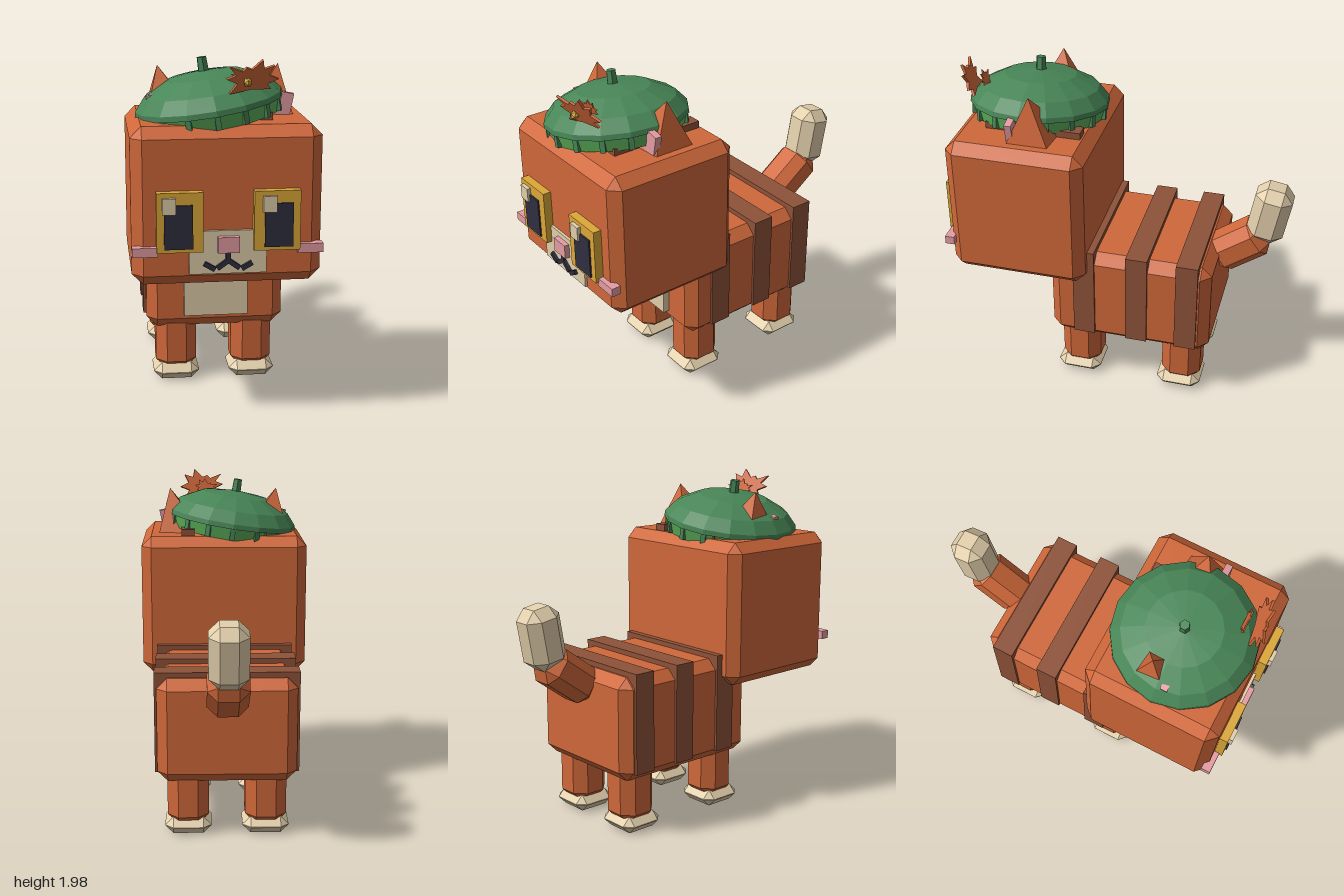
import * as THREE from 'three';
import { ConvexGeometry } from 'three/addons/geometries/ConvexGeometry.js';

const mat = (name, color) => {
  const m = new THREE.MeshStandardMaterial({ color });
  m.name = name;
  return m;
};

// Box with every edge cut by c
function chamferBox(w, h, d, c) {
  const pts = [];
  for (const sx of [-1, 1]) for (const sy of [-1, 1]) for (const sz of [-1, 1]) {
    const x = w / 2, y = h / 2, z = d / 2;
    pts.push(
      new THREE.Vector3(sx * x, sy * (y - c), sz * (z - c)),
      new THREE.Vector3(sx * (x - c), sy * y, sz * (z - c)),
      new THREE.Vector3(sx * (x - c), sy * (y - c), sz * z));
  }
  return new ConvexGeometry(pts);
}

// Facet a geometry
function flat(geo) {
  const g = geo.index ? geo.toNonIndexed() : geo;
  g.computeVertexNormals();
  return g;
}

export function createModel() {
  const orange = mat('orange fur', 0xd0683a);
  const brown = mat('brown stripe', 0x8e5239);
  const cream = mat('cream fur', 0xe2cfab);
  const gold = mat('gold', 0xdca838);
  const dark = mat('dark', 0x2f2e40);
  const pink = mat('pink', 0xe49ca2);
  const green = mat('hat green', 0x488657);
  const lightGreen = mat('hat band green', 0x5cb05a);

  const model = new THREE.Group();
  model.name = 'cat';
  const add = (name, geo, material, x, y, z, parent = model) => {
    const m = new THREE.Mesh(geo, material);
    m.name = name;
    m.position.set(x, y, z);
    parent.add(m);
    return m;
  };
  // Box given by its limits on each axis
  const span = (name, material, x0, x1, y0, y1, z0, z1) =>
    add(name, new THREE.BoxGeometry(x1 - x0, y1 - y0, z1 - z0), material,
      (x0 + x1) / 2, (y0 + y1) / 2, (z0 + z1) / 2);

  // Body, chest and stripes
  add('body', chamferBox(0.8, 0.61, 0.97, 0.06), orange, 0, 0.645, -0.125);
  span('chest', cream, -0.185, 0.185, 0.43, 0.84, 0.33, 0.4);
  for (const z of [0.145, -0.175, -0.475])
    span('bodyStripe', brown, -0.414, 0.414, 0.39, 0.98, z - 0.065, z + 0.065);

  // Legs and paws
  for (const x of [-0.225, 0.225]) for (const z of [0.2, -0.435]) {
    add('leg', chamferBox(0.24, 0.37, 0.24, 0.063), orange, x, 0.235, z);
    add('paw', chamferBox(0.27, 0.1, 0.27, 0.048), cream, x, 0.05, z + 0.01);
  }

  // Tail
  add('tail', chamferBox(0.235, 0.37, 0.225, 0.06), orange, 0, 0.927, -0.715)
    .rotation.x = -0.94;
  add('tailTip', chamferBox(0.22, 0.36, 0.22, 0.06), cream, 0, 1.17, -0.877)
    .rotation.x = -0.175;

  // Head and its top stripes
  add('head', chamferBox(1.01, 0.85, 0.81, 0.06), orange, 0, 1.215, 0.525);
  for (const x of [-0.22, 0, 0.22])
    span('headStripe', brown, x - 0.04, x + 0.04, 1.6, 1.68, 0.19, 0.75);

  // Face
  span('muzzle', cream, -0.205, 0.205, 0.86, 1.095, 0.91, 0.945);
  span('nose', pink, -0.057, 0.057, 0.98, 1.065, 0.92, 0.975);
  for (const s of [-1, 1]) {
    const ex = s * 0.255, px = s * 0.263, hx = px - 0.05;
    span('eye', gold, ex - 0.122, ex + 0.122, 0.99, 1.31, 0.92, 0.978);
    span('pupil', dark, px - 0.075, px + 0.075, 1.01, 1.245, 0.978, 0.987);
    span('eyeHighlight', cream, hx - 0.036, hx + 0.036, 1.2, 1.285, 0.975, 1.0);
    span('cheek', pink, s * 0.437 - 0.068, s * 0.437 + 0.068, 0.965, 1.015, 0.905, 0.96);
  }
  const stroke = (x0, y0, x1, y1) => {
    const len = Math.hypot(x1 - x0, y1 - y0) + 0.01;
    add('mouth', new THREE.BoxGeometry(len, 0.026, 0.03), dark,
      (x0 + x1) / 2, (y0 + y1) / 2, 0.948).rotation.z = Math.atan2(y1 - y0, x1 - x0);
  };
  stroke(0, 0.98, 0, 0.93);
  for (const s of [-1, 1]) {
    stroke(0, 0.935, s * 0.055, 0.895);
    stroke(s * 0.075, 0.89, s * 0.122, 0.917);
  }

  // Ears: square pyramids leaning outwards
  for (const s of [-1, 1]) {
    const ear = new THREE.Group();
    ear.name = 'ear';
    ear.position.set(s * 0.275, 1.62, 0.46);
    ear.rotation.z = -s * 0.2;
    model.add(ear);
    const cone = new THREE.ConeGeometry(0.198, 0.29, 4, 1);
    cone.rotateY(Math.PI / 4);
    add('outerEar', flat(cone), orange, 0, 0.145, 0, ear);
    add('innerEar', new THREE.BoxGeometry(0.13, 0.13, 0.04), pink, s * 0.035, 0.09, 0.105, ear);
  }

  // Tilted hat
  const hat = new THREE.Group();
  hat.name = 'hat';
  hat.position.set(-0.055, 1.69, 0.522);
  hat.rotation.z = 0.157;
  model.add(hat);
  const profile = [[0, 0], [0.408, 0], [0.405, 0.03], [0.345, 0.1], [0.21, 0.168], [0, 0.195]]
    .map(p => new THREE.Vector2(...p));
  add('hatDome', flat(new THREE.LatheGeometry(profile, 16)), green, 0, 0, 0, hat);
  add('hatBand', flat(new THREE.CylinderGeometry(0.396, 0.375, 0.075, 16)), lightGreen, 0, -0.036, 0, hat);
  add('hatUnderside', flat(new THREE.CylinderGeometry(0.36, 0.35, 0.01, 16)), green, 0, -0.073, 0, hat);
  add('hatStem', flat(new THREE.CylinderGeometry(0.028, 0.032, 0.08, 6)), green, 0, 0.225, 0, hat);
  for (let i = 0; i < 16; i++) {
    const a = i / 16 * Math.PI * 2;
    add('hatRib', new THREE.BoxGeometry(0.03, 0.068, 0.03), green,
      Math.sin(a) * 0.383, -0.036, Math.cos(a) * 0.383, hat).rotation.y = a;
  }

  // Leaf ornament, a smaller leaf behind it and a bead
  const outline = [[0.075, 0.13], [0.085, 0.075], [0.14, 0.088], [0.115, 0.035], [0.17, 0.005],
    [0.11, -0.015], [0.13, -0.05], [0.02, -0.038], [-0.095, -0.05], [-0.055, 0.005],
    [-0.115, 0.04], [-0.065, 0.055], [-0.105, 0.11], [-0.03, 0.075], [-0.01, 0.095], [0.02, 0.08]]
    .map(p => new THREE.Vector2(...p));
  const leafGeo = new THREE.ExtrudeGeometry(new THREE.Shape(outline),
    { depth: 0.015, bevelEnabled: false });
  const leaf = add('leaf', leafGeo, orange, 0.105, 1.857, 0.855);
  leaf.rotation.set(0.42, 0.2, 0);
  const small = add('smallLeaf', leafGeo, orange, 0.095, 1.86, 0.785);
  small.rotation.set(0.3, 0.1, 0.3);
  small.scale.setScalar(0.5);
  add('bead', flat(new THREE.IcosahedronGeometry(0.025, 0)), gold, 0.105, 1.86, 0.885);

  return model;
}
